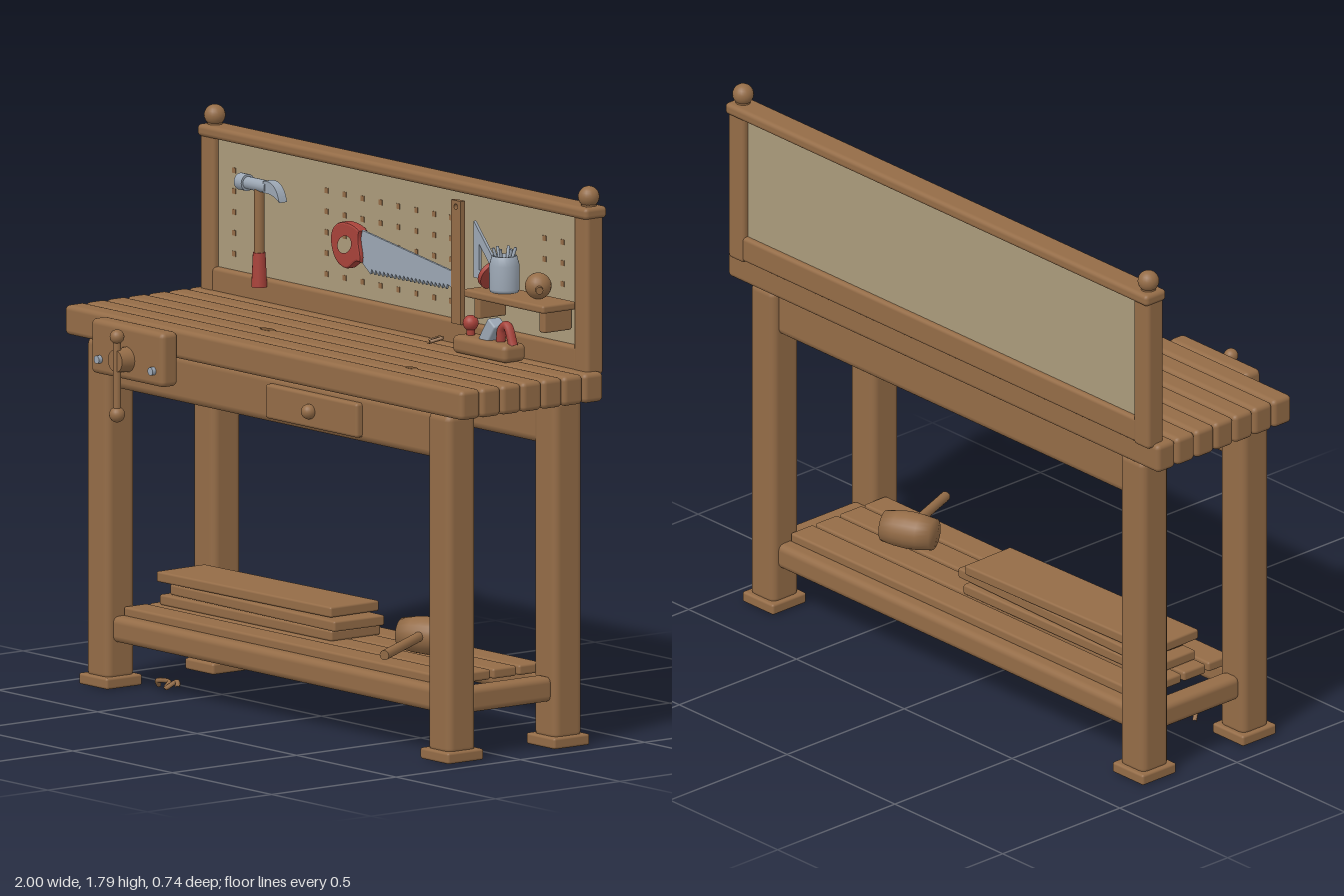
import * as THREE from 'three';
import { RoundedBoxGeometry } from 'three/addons/geometries/RoundedBoxGeometry.js';

const material = (name, color, side = THREE.FrontSide) => {
  const m = new THREE.MeshStandardMaterial({ color, side });
  m.name = name;
  return m;
};

export function createModel() {
  const wood = material('wood', 0x946c47);
  const darkWood = material('darkWood', 0x6f4f31);
  const board = material('board', 0xab9b7b);
  const metal = material('metal', 0x9ca7b4, THREE.DoubleSide);
  const red = material('red', 0xa8423a);

  const root = new THREE.Group();
  root.name = 'workbench';

  const add = (name, geometry, mat, x = 0, y = 0, z = 0, parent = root) => {
    const mesh = new THREE.Mesh(geometry, mat);
    mesh.name = name;
    mesh.position.set(x, y, z);
    parent.add(mesh);
    return mesh;
  };
  // Rounded block given by its limits on each axis
  const block = (name, mat, [x0, x1], [y0, y1], [z0, z1], r = 0.01) =>
    add(name, new RoundedBoxGeometry(x1 - x0, y1 - y0, z1 - z0, 2, r), mat,
      (x0 + x1) / 2, (y0 + y1) / 2, (z0 + z1) / 2);
  const ball = (name, mat, r, x, y, z) => add(name, new THREE.SphereGeometry(r, 20, 14), mat, x, y, z);
  // Round rod between two points
  const rod = (name, mat, a, b, r0, r1 = r0) => {
    const p = new THREE.Vector3(...a), q = new THREE.Vector3(...b);
    const d = q.clone().sub(p);
    const mesh = add(name, new THREE.CylinderGeometry(r1, r0, d.length(), 16), mat);
    mesh.position.copy(p).add(q).multiplyScalar(0.5);
    mesh.quaternion.setFromUnitVectors(new THREE.Vector3(0, 1, 0), d.normalize());
    return mesh;
  };
  const outline = (points) => new THREE.Shape(points.map(([x, y]) => new THREE.Vector2(x, y)));
  // Flat cut-out parallel to the wall
  const plate = (name, mat, shape, z, depth, bevel = 0) =>
    add(name, new THREE.ExtrudeGeometry(shape, {
      depth, curveSegments: 20, bevelEnabled: bevel > 0,
      bevelSize: bevel, bevelThickness: bevel, bevelSegments: 2,
    }), mat, 0, 0, z);
  const curl = (name, points, r) =>
    add(name, new THREE.TubeGeometry(
      new THREE.CatmullRomCurve3(points.map((p) => new THREE.Vector3(...p))), 30, r, 6), wood);

  // Top planks
  for (let i = 0; i < 7; i++) {
    const z = 0.197 - i * 0.0825;
    block('topPlank', wood, [-1, 1], [1.105, 1.2], [z - 0.039, z + 0.039], 0.016);
  }
  for (const [x, z, s] of [[-0.25, 0.015, 0.034], [0.57, 0.092, 0.027]]) {
    const knot = add('knot', new THREE.SphereGeometry(s, 16, 8), darkWood, x, 1.2, z);
    knot.scale.set(1, 0.1, 0.5);
  }

  // Legs and feet
  for (const x of [-0.858, 0.858]) {
    for (const z of [0.162, -0.265]) {
      block('leg', wood, [x - 0.057, x + 0.057], [0.02, 1.11], [z - 0.057, z + 0.057], 0.024);
      block('foot', wood, [x - 0.072, x + 0.072], [0, 0.036], [z - 0.072, z + 0.072], 0.008);
    }
    block('sideStretcher', wood, [x - 0.035, x + 0.035], [0.145, 0.225], [-0.22, 0.115], 0.02);
  }

  // Aprons, stretchers and lower shelf
  for (const z of [0.162, -0.265]) {
    block('apron', wood, [-0.82, 0.82], [0.955, 1.108], [z - 0.035, z + 0.035], 0.025);
    block('longStretcher', wood, [-0.82, 0.82], [0.145, 0.228], [z - 0.035, z + 0.035], 0.022);
  }
  for (let i = 0; i < 4; i++) {
    const z = 0.11 - i * 0.1045;
    block('shelfSlat', wood, [-0.8, 0.8], [0.223, 0.256], [z - 0.047, z + 0.047], 0.008);
  }

  // Drawer
  block('drawerFront', wood, [-0.01, 0.452], [0.973, 1.083], [0.18, 0.22], 0.01);
  ball('drawerKnob', wood, 0.024, 0.22, 1.027, 0.228);

  // Vise
  block('viseJaw', wood, [-0.785, -0.42], [1.02, 1.195], [0.237, 0.303], 0.018);
  rod('viseBoss', wood, [-0.6, 1.088, 0.29], [-0.6, 1.088, 0.35], 0.042, 0.036);
  rod('viseHandle', wood, [-0.6, 0.92, 0.342], [-0.6, 1.165, 0.342], 0.013);
  ball('viseHandleEnd', wood, 0.025, -0.6, 0.917, 0.342);
  ball('viseHandleEnd', wood, 0.023, -0.6, 1.165, 0.342);
  for (const x of [-0.735, -0.465]) rod('viseBolt', metal, [x, 1.07, 0.29], [x, 1.07, 0.317], 0.013);

  // Back frame and pegboard
  for (const x of [-0.94, 0.94]) {
    block('backPost', wood, [x - 0.036, x + 0.036], [1.185, 1.7], [-0.357, -0.288], 0.014);
    rod('finialNeck', wood, [x, 1.715, -0.323], [x, 1.735, -0.323], 0.024);
    ball('finial', wood, 0.034, x, 1.752, -0.323);
  }
  block('topRail', wood, [-0.98, 0.98], [1.684, 1.723], [-0.368, -0.28], 0.014);
  block('bottomRail', wood, [-0.92, 0.92], [1.19, 1.274], [-0.353, -0.29], 0.012);
  add('pegboard', new THREE.BoxGeometry(1.83, 0.43, 0.026), board, 0, 1.477, -0.323);
  for (const x of [-0.825, -0.36, -0.27, -0.18, -0.09, 0, 0.09, 0.18, 0.265, 0.735, 0.825])
    for (let j = 0; j < 5; j++)
      add('pegHole', new THREE.BoxGeometry(0.017, 0.017, 0.004), wood, x, 1.592 - j * 0.0665, -0.31);

  // Hammer
  rod('hammerHandle', wood, [-0.648, 1.35, -0.268], [-0.648, 1.57, -0.268], 0.016);
  rod('hammerGrip', red, [-0.648, 1.25, -0.268], [-0.648, 1.36, -0.268], 0.025, 0.02);
  rod('hammerNeck', metal, [-0.71, 1.574, -0.268], [-0.6, 1.574, -0.268], 0.02);
  rod('hammerFace', metal, [-0.742, 1.574, -0.268], [-0.705, 1.574, -0.268], 0.027);
  const claw = outline([[-0.61, 1.594]]);
  claw.quadraticCurveTo(-0.545, 1.605, -0.528, 1.535);
  claw.quadraticCurveTo(-0.56, 1.562, -0.61, 1.556);
  plate('hammerClaw', metal, claw, -0.284, 0.032);

  // Saw
  const sawPoints = [[-0.15, 1.5], [0.315, 1.43], [0.315, 1.376]];
  for (let i = 0; i < 20; i++) {
    const x = 0.285 - i * 0.02;
    sawPoints.push([x, 1.386 - i * 0.0003], [x - 0.006, 1.37 - i * 0.0003]);
  }
  sawPoints.push([-0.15, 1.4]);
  plate('sawBlade', metal, outline(sawPoints), -0.286, 0.008);
  const grip = outline([[-0.28, 1.46]]);
  grip.bezierCurveTo(-0.27, 1.53, -0.17, 1.51, -0.15, 1.495);
  grip.bezierCurveTo(-0.165, 1.46, -0.14, 1.43, -0.145, 1.405);
  grip.bezierCurveTo(-0.18, 1.41, -0.19, 1.365, -0.225, 1.378);
  grip.bezierCurveTo(-0.26, 1.385, -0.28, 1.42, -0.28, 1.46);
  const gripHole = new THREE.Path();
  gripHole.absellipse(-0.215, 1.445, 0.036, 0.026, 0, Math.PI * 2, true, 0.5);
  grip.holes.push(gripHole);
  plate('sawHandle', red, grip, -0.293, 0.022, 0.007);

  // Straightedge and set square
  const rule = outline([[0.306, 1.266], [0.354, 1.266], [0.354, 1.66], [0.306, 1.66]]);
  const ruleHole = new THREE.Path();
  ruleHole.absarc(0.33, 1.64, 0.009, 0, Math.PI * 2, true);
  rule.holes.push(ruleHole);
  plate('straightedge', wood, rule, -0.294, 0.018);
  const square = outline([[0.41, 1.425], [0.575, 1.425], [0.41, 1.605]]);
  square.holes.push(outline([[0.437, 1.452], [0.437, 1.535], [0.513, 1.452]]));
  plate('setSquare', metal, square, -0.294, 0.01);

  // Small shelf
  block('smallShelf', wood, [0.505, 0.908], [1.389, 1.415], [-0.3, -0.165], 0.008);
  for (const x of [0.542, 0.87])
    block('shelfBracket', wood, [x - 0.015, x + 0.015], [1.322, 1.392], [-0.3, -0.19], 0.006);

  // Cup of nails
  const cup = [[0, 0], [0.045, 0], [0.048, 0.01], [0.048, 0.085], [0.04, 0.115], [0.034, 0.115], [0.034, 0.09], [0, 0.09]];
  add('cup', new THREE.LatheGeometry(cup.map((p) => new THREE.Vector2(...p)), 24), metal, 0.626, 1.415, -0.235);
  for (let i = 0; i < 6; i++) {
    const c = Math.cos(i * Math.PI / 3), s = Math.sin(i * Math.PI / 3);
    rod('nail', metal, [0.626 + 0.012 * c, 1.48, -0.235 + 0.012 * s],
      [0.626 + 0.036 * c, 1.555, -0.235 + 0.036 * s], 0.005);
  }

  // Leaning red pad and wooden mug
  const pad = add('redPad', new THREE.CylinderGeometry(0.045, 0.045, 0.016, 24), red, 0.558, 1.458, -0.235);
  pad.rotation.z = Math.PI / 2 - 0.42;
  ball('woodenBall', wood, 0.042, 0.796, 1.457, -0.235);
  rod('ballPeg', wood, [0.81, 1.455, -0.225], [0.84, 1.45, -0.205], 0.012);

  // Hand plane
  block('planeBody', wood, [0.432, 0.702], [1.2, 1.258], [-0.265, -0.175], 0.018);
  rod('planeKnobStem', red, [0.475, 1.25, -0.22], [0.475, 1.29, -0.22], 0.013);
  ball('planeKnob', red, 0.025, 0.475, 1.296, -0.22);
  const iron = add('planeIron', new RoundedBoxGeometry(0.045, 0.085, 0.05, 2, 0.006), metal, 0.585, 1.282, -0.22);
  iron.rotation.z = -0.6;
  add('planeHandle', new THREE.TubeGeometry(new THREE.CatmullRomCurve3([
    [0.625, 1.25], [0.635, 1.3], [0.66, 1.312], [0.69, 1.25],
  ].map(([x, y]) => new THREE.Vector3(x, y, -0.22))), 20, 0.015, 10), red);

  // Stacked boards
  for (const [x0, x1, y, z, turn] of [
    [-0.755, 0.1, 0.256, -0.055, 0.01], [-0.71, 0.14, 0.293, -0.05, -0.02], [-0.765, 0.087, 0.329, -0.055, 0.025],
  ])
    block('looseBoard', wood, [x0, x1], [y, y + 0.034], [z - 0.1, z + 0.1], 0.007).rotation.y = turn;

  // Mallet
  const barrel = [[0, -0.085], [0.05, -0.085], [0.057, -0.04], [0.06, 0], [0.057, 0.04], [0.05, 0.085], [0, 0.085]];
  const head = add('malletHead', new THREE.LatheGeometry(barrel.map((p) => new THREE.Vector2(...p)), 24),
    wood, 0.465, 0.317, -0.05);
  head.quaternion.setFromUnitVectors(new THREE.Vector3(0, 1, 0), new THREE.Vector3(0.914, 0, -0.406));
  rod('malletHandle', wood, [0.465, 0.325, -0.05], [0.597, 0.302, 0.225], 0.016);

  // Wood shavings
  curl('benchShaving', [[0.255, 1.208, -0.23], [0.29, 1.222, -0.25], [0.275, 1.21, -0.225],
    [0.315, 1.224, -0.235], [0.285, 1.21, -0.205], [0.3, 1.215, -0.19]], 0.006);
  curl('floorShaving', [[-0.705, 0.012, 0.09], [-0.685, 0.032, 0.11], [-0.66, 0.028, 0.085],
    [-0.645, 0.012, 0.11], [-0.62, 0.034, 0.085], [-0.598, 0.018, 0.1]], 0.008);

  return root;
}
